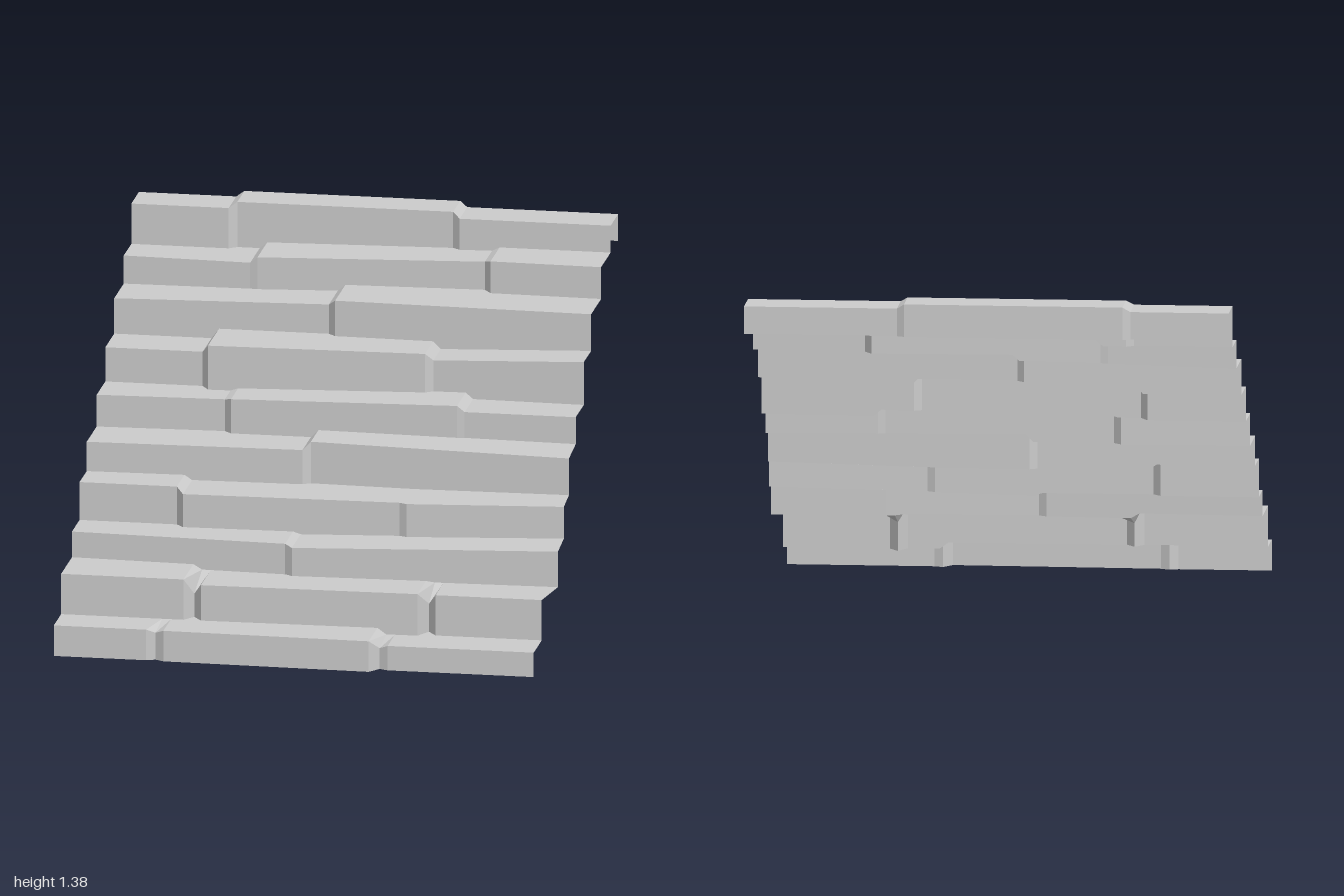
import * as THREE from 'three';

const LEFT = -0.98, RIGHT = 0.94;

// Joints between slats; the courses alternate between these three bonds
const WIDE = [-0.575, 0.32], SHIFTED = [-0.455, 0.48], HALVED = [-0.105];

// One slat: front edge depth and top height at its left end, then at its right end
const slat = (z, y, zEnd = z, yEnd = y) => ({ z, y, zEnd, yEnd });

// One step: its slats joined at the given seams. A notch is a groove cut back and down at each
// seam; flare pushes the right end outwards.
function course(seams, slats, { notch = 0, flare = 0 } = {}) {
  const half = notch ? 0.035 : 0.015;
  const edge = [];
  slats.forEach((s, i) => {
    const start = i === 0 ? LEFT : seams[i - 1] + half;
    const end = i === seams.length ? RIGHT : seams[i] - half;
    edge.push({ x: start, z: s.z, y: s.y, rear: s.y }, { x: end, z: s.zEnd, y: s.yEnd, rear: s.yEnd });
    if (notch && i < seams.length) {
      const next = slats[i + 1];
      const z = Math.min(s.zEnd, next.z) - notch, y = Math.min(s.yEnd, next.y);
      edge.push({ x: seams[i], z, y: y - notch, rear: y });
    }
  });
  return { edge, flare };
}

const STEPS = [
  course(WIDE, [slat(0.98, 0.125), slat(0.985, 0.125, 1), slat(0.965, 0.1)], { notch: 0.015 }),
  course(SHIFTED, [slat(0.81, 0.29), slat(0.81, 0.27, 0.795), slat(0.78, 0.265)], { notch: 0.05 }),
  course(HALVED, [slat(0.56, 0.395, 0.595), slat(0.615, 0.385, 0.58, 0.41)], { flare: 0.03 }),
  course(WIDE, [slat(0.385, 0.55), slat(0.42, 0.53, 0.4), slat(0.415, 0.53, 0.385, 0.54)], { flare: 0.02 }),
  course(HALVED, [slat(0.22, 0.67, 0.195), slat(0.175, 0.7, 0.21, 0.69)], { flare: 0.01 }),
  course(SHIFTED, [slat(-0.01, 0.8, -0.03), slat(0, 0.81, 0, 0.825), slat(-0.005, 0.8)]),
  course(WIDE, [slat(-0.21, 0.94), slat(-0.16, 0.98, -0.185), slat(-0.205, 0.95, -0.19, 0.975)]),
  course(HALVED, [slat(-0.415, 1.085, -0.415, 1.1), slat(-0.385, 1.125, -0.36)]),
  course(SHIFTED, [slat(-0.635, 1.2, -0.615), slat(-0.61, 1.225, -0.645, 1.24), slat(-0.6, 1.255, -0.59)]),
  course(WIDE, [slat(-0.81, 1.365), slat(-0.835, 1.385), slat(-0.81, 1.365)]),
];

// Line on the ground, and the lower line of the flap behind the top step
const GROUND = course([], [slat(1, 0)]);
const REAR = course(WIDE, [slat(-0.985, 1.255), slat(-1, 1.255), slat(-0.985, 1.255)]);

// Point along a step edge at x
function sample({ edge, flare }, x) {
  let i = 0;
  while (i < edge.length - 2 && x > edge[i + 1].x) i++;
  const a = edge[i], b = edge[i + 1];
  const mix = (key) => THREE.MathUtils.mapLinear(x, a.x, b.x, a[key], b[key]);
  return { x: x === RIGHT ? x + flare : x, z: mix('z'), y: mix('y'), rear: mix('rear') };
}

// Strip between two lines of points
function strip(name, lower, upper, material) {
  const pos = [];
  for (let j = 0; j < lower.length - 1; j++) {
    const [a, b, c, d] = [lower[j], lower[j + 1], upper[j + 1], upper[j]];
    pos.push(...a, ...b, ...c, ...a, ...c, ...d);
  }
  const geometry = new THREE.BufferGeometry();
  geometry.setAttribute('position', new THREE.Float32BufferAttribute(pos, 3));
  geometry.computeVertexNormals();
  const mesh = new THREE.Mesh(geometry, material);
  mesh.name = name;
  return mesh;
}

export function createModel() {
  const model = new THREE.Group();
  model.name = 'slattedSteps';
  const material = new THREE.MeshStandardMaterial({ color: 0xcccccc, flatShading: true, side: THREE.DoubleSide });

  STEPS.forEach((step, i) => {
    const below = STEPS[i - 1] || GROUND;
    const above = STEPS[i + 1] || REAR;
    const xs = [...new Set([below, step, above].flatMap((s) => s.edge.map((p) => p.x)))].sort((a, b) => a - b);
    const foot = [], nose = [], back = [], hem = [];
    for (const x of xs) {
      const s = sample(step, x), a = sample(above, x);
      foot.push([s.x, sample(below, x).rear, s.z]);
      nose.push([s.x, s.y, s.z]);
      back.push([a.x, s.rear, a.z]);
      hem.push([a.x, a.y, a.z]);
    }
    const group = new THREE.Group();
    group.name = `step${i + 1}`;
    group.add(strip('riser', foot, nose, material), strip('tread', nose, back, material));
    // Short flap behind the top step
    if (above === REAR) group.add(strip('rearFlap', back, hem, material));
    model.add(group);
  });
  return model;
}
